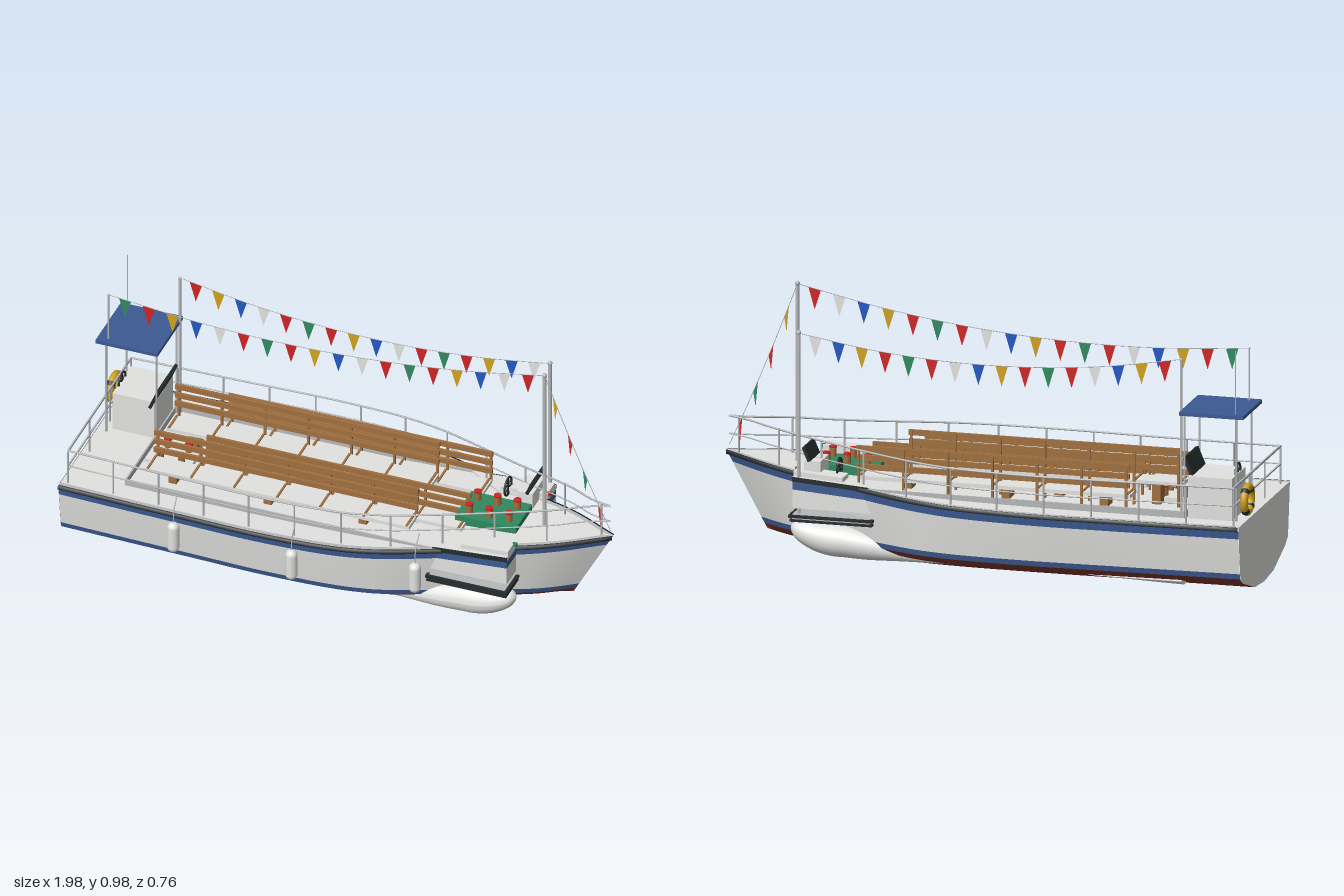
import * as THREE from 'three';

const mat = (name, color, side = THREE.FrontSide) => {
  const m = new THREE.MeshStandardMaterial({ color, side });
  m.name = name;
  return m;
};

export function createModel() {
  const white = mat('white', 0xe2e2e0, THREE.DoubleSide), navy = mat('navy', 0x3c5a92), antifoul = mat('antifouling', 0x86392f);
  const dark = mat('dark', 0x252b2d), wood = mat('wood', 0xa0703f), steel = mat('steel', 0xb6b8ba);
  const red = mat('red', 0xd02424, THREE.DoubleSide), yellow = mat('yellow', 0xd0a21e, THREE.DoubleSide);
  const green = mat('green', 0x2f8a60, THREE.DoubleSide), blue = mat('blue', 0x2258c4, THREE.DoubleSide);

  const boat = new THREE.Group();
  boat.name = 'boat';
  boat.position.z = -0.013;

  const add = (name, geo, m, x = 0, y = 0, z = 0) => {
    const mesh = new THREE.Mesh(geo, m);
    mesh.name = name;
    mesh.position.set(x, y, z);
    boat.add(mesh);
    return mesh;
  };
  // box from its limits
  const box = (name, m, x0, x1, y0, y1, z0, z1) =>
    add(name, new THREE.BoxGeometry(x1 - x0, y1 - y0, z1 - z0), m, (x0 + x1) / 2, (y0 + y1) / 2, (z0 + z1) / 2);
  const post = (name, m, x, y0, y1, z, r = 0.004, sides = 8) =>
    add(name, new THREE.CylinderGeometry(r, r, y1 - y0, sides), m, x, (y0 + y1) / 2, z);
  const tube = (name, m, pts, r, n = 60) =>
    add(name, new THREE.TubeGeometry(new THREE.CatmullRomCurve3(pts), n, r, 6), m);
  // upright prism over a plan outline; rise tilts it to follow the sheer
  const prism = (name, m, pts, y0, y1, rise = 0) => {
    const shape = new THREE.Shape(pts.map(([x, z]) => new THREE.Vector2(x, -z)));
    const g = new THREE.ExtrudeGeometry(shape, { depth: y1 - y0, bevelEnabled: false }).rotateX(-Math.PI / 2);
    const v = g.attributes.position;
    for (let i = 0; i < v.count; i++) v.setY(i, v.getY(i) + (v.getX(i) - 0.68) * rise);
    return add(name, g, m, 0, y0, 0);
  };

  // Hull plan: x, sheer height, half beam
  const plan = [[-0.98, 0.28, 0.336], [-0.5, 0.28, 0.35], [-0.2, 0.282, 0.358], [0.08, 0.287, 0.344], [0.24, 0.293, 0.31],
    [0.35, 0.298, 0.273], [0.45, 0.303, 0.236], [0.6, 0.312, 0.18], [0.8, 0.328, 0.106], [0.99, 0.342, 0.002]];
  const stations = new THREE.CatmullRomCurve3(plan.map(p => new THREE.Vector3(...p))).getPoints(54);
  const at = x => {
    const i = Math.max(1, stations.findIndex(p => p.x >= x));
    const a = stations[i - 1], b = stations[i];
    return a.clone().lerp(b, (x - a.x) / (b.x - a.x));
  };
  // Cross-section points [x, y, half width], keel to sheer
  const section = ({ x, y: s, z: b }) => {
    const f = THREE.MathUtils.clamp((x - 0.2) / 0.79, 0, 1);
    const k = 0.065 * f * f, m = 0.92 - 0.2 * f, wide = b * m;
    const side = y => b * (m + (1 - m) * Math.pow((y - 0.085) / (s - 0.085), 0.8));
    return [[0, k], [0.4 * wide, k + 0.01], [0.88 * wide, k + (0.085 - k) * 0.72], [wide, 0.085], [side(0.105), 0.105],
      [side(0.19), 0.19], [side(s - 0.043), s - 0.043], [side(s - 0.014), s - 0.014],
    ].map(([w, y]) => [x - 0.15 * f * f * (s - y) / (s - k), y, w]);
  };
  // Strip lofted along the stations, mirrored to both sides
  const strip = (name, m, rowsOf) => {
    for (const sgn of [1, -1]) {
      const pos = [], idx = [];
      const rows = stations.map(rowsOf), n = rows[0].length;
      rows.forEach(r => r.forEach(([x, y, w]) => pos.push(x, y, w * sgn)));
      for (let i = 0; i < rows.length - 1; i++) for (let j = 0; j < n - 1; j++) {
        const a = i * n + j, b = a + n, c = b + 1, d = a + 1;
        if (sgn > 0) idx.push(a, b, c, a, c, d); else idx.push(a, c, b, a, d, c);
      }
      const g = new THREE.BufferGeometry();
      g.setAttribute('position', new THREE.Float32BufferAttribute(pos, 3));
      g.setIndex(idx);
      g.computeVertexNormals();
      add(name, g, m);
    }
  };
  strip('hullBottom', antifoul, p => section(p).slice(0, 4));
  strip('waterlineStripe', navy, p => section(p).slice(3, 5));
  strip('hullSide', white, p => section(p).slice(4, 7));
  strip('sheerStripe', navy, p => section(p).slice(6, 8));
  strip('rubRail', dark, ({ x, y, z }) => [[x, y - 0.016, z - 0.003], [x, y - 0.014, z + 0.008], [x, y, z + 0.008],
    [x, y, Math.max(0, z - 0.002)]]);
  strip('deckEdge', steel, ({ x, y, z }) => [[x, y + 0.001, z], [x, y + 0.001, Math.max(0, z - 0.016)]]);
  strip('deck', white, ({ x, y, z }) => [[x, y - 0.003, Math.max(0, z - 0.002)], [x, y - 0.003, 0]]);
  const end = section(stations[0]).map(([, y, w]) => [w, y]);
  end.push([0.336, 0.28]);
  const outline = [...end, ...end.slice(1).reverse().map(([w, y]) => [-w, y])].map(p => new THREE.Vector2(...p));
  add('transom', new THREE.ShapeGeometry(new THREE.Shape(outline)).rotateY(-Math.PI / 2), white, -0.981, 0, 0);

  // Coaming around the seating area
  for (const s of [-1, 1]) box('coaming', steel, -0.76, 0.4, 0.278, 0.302, s * 0.247 - 0.003, s * 0.247 + 0.003);
  box('coamingAft', steel, -0.763, -0.757, 0.278, 0.302, -0.247, 0.247);

  // Railings
  const inset = x => Math.max(0, at(x).z - 0.03);
  for (const [lift, r] of [[0.135, 0.0038], [0.07, 0.0025]]) {
    for (const s of [1, -1]) {
      const pts = [];
      for (let i = 0; i <= 24; i++) {
        const x = -0.955 + 1.935 * i / 24;
        pts.push(new THREE.Vector3(x, at(x).y + lift - 0.01 * i / 24, s * inset(x)));
      }
      tube('sideRail', steel, pts, r, 90);
    }
    box('sternRail', steel, -0.958, -0.952, 0.28 + lift - r, 0.28 + lift + r, -0.307, 0.307);
  }
  for (const s of [1, -1]) for (let i = 0; i <= 11; i++) {
    const x = -0.955 + 1.9 * i / 11, y = at(x).y;
    post('railPost', steel, x, y - 0.01, y + 0.13, s * inset(x), 0.0035, 6);
  }
  for (const z of [-0.1, 0.1]) post('sternRailPost', steel, -0.955, 0.27, 0.41, z, 0.0035, 6);

  // Slatted benches: x range, backrest z, seat top, backrest heights
  const bench = (x0, x1, z, seat, low) => {
    box('benchSeat', white, x0, x1, seat - 0.014, seat, z, z + 0.085);
    for (let i = 0; i < 3; i++)
      box('backSlat', wood, x0, x1, low + i * 0.034, low + 0.02 + i * 0.034, z - 0.008 - i * 0.003, z + 0.002 - i * 0.003);
    for (let i = 0; i <= 6; i++) {
      const x = x0 + 0.01 + (x1 - x0 - 0.02) * i / 6;
      box('backBracket', wood, x - 0.004, x + 0.004, 0.28, low + 0.085, z - 0.018, z - 0.01);
      box('seatBatten', wood, x - 0.004, x + 0.004, seat, seat + 0.004, z, z + 0.085);
    }
    for (const t of [0.1, 0.46, 0.82]) {
      const x = x0 + (x1 - x0) * t;
      box('benchLeg', wood, x - 0.015, x + 0.015, 0.275, seat - 0.014, z + 0.015, z + 0.075);
    }
  };
  bench(-0.71, 0.29, -0.102, 0.365, 0.405);
  bench(-0.71, 0.29, 0.103, 0.325, 0.34);
  bench(-0.54, 0.46, -0.182, 0.33, 0.355);
  bench(-0.54, 0.46, 0.033, 0.315, 0.315);

  // Table with cups
  box('table', green, 0.42, 0.65, 0.285, 0.335, -0.085, 0.075);
  const cup = (x, y, z) => {
    post('cup', wood, x, y, y + 0.032, z, 0.013, 12);
    post('cupTop', red, x, y + 0.032, y + 0.038, z, 0.014, 12);
  };
  for (const x of [0.46, 0.535, 0.61]) for (const z of [-0.045, 0.038]) cup(x, 0.335, z);
  for (const x of [-0.7, -0.62]) for (const z of [-0.01, 0.065]) cup(x, 0.29, z);
  box('cupShelf', white, -0.75, -0.58, 0.275, 0.292, -0.04, 0.09);

  // Helm stations: screen and wheel
  const helm = (xs, ys, z, w, h, xw, yw) => {
    const screen = add('screen', new THREE.BoxGeometry(0.012, h, w), dark, xs, ys, z);
    screen.rotation.z = -0.4;
    const wheel = add('steeringWheel', new THREE.TorusGeometry(0.034, 0.004, 8, 24), dark, xw, yw, z);
    wheel.rotation.y = Math.PI / 2;
    for (let i = 0; i < 3; i++) {
      const spoke = add('wheelSpoke', new THREE.BoxGeometry(0.004, 0.066, 0.005), dark, xw, yw, z);
      spoke.rotation.x = i * Math.PI / 3;
    }
  };
  box('sternConsole', white, -0.93, -0.77, 0.275, 0.43, -0.24, -0.06);
  helm(-0.77, 0.446, -0.142, 0.165, 0.1, -0.925, 0.43);
  box('bowConsole', white, 0.59, 0.65, 0.3, 0.375, -0.2, -0.09);
  helm(0.64, 0.4, -0.145, 0.125, 0.055, 0.535, 0.345);

  // Canopy, poles and masts
  box('canopy', navy, -0.98, -0.745, 0.657, 0.67, -0.272, -0.022);
  for (const x of [-0.945, -0.755]) for (const z of [-0.038, -0.235]) post('canopyPost', steel, x, 0.275, 0.657, z);
  post('antenna', steel, -0.945, 0.67, 0.9, -0.247, 0.002);
  const mast = (x, y0, y1, z, r) => {
    post('mast', steel, x, y0, y1, z, r, 12);
    add('mastBall', new THREE.SphereGeometry(r * 1.3, 12, 8), steel, x, y1, z);
  };
  mast(0.73, 0.31, 0.966, 0, 0.007);
  mast(0.66, 0.18, 0.85, -0.232, 0.007);
  mast(-0.745, 0.27, 0.852, -0.242, 0.005);
  mast(-0.94, 0.67, 0.86, -0.047, 0.003);

  // Bunting: sagging line with pennants
  const cycle = [green, red, yellow, blue, white, red];
  const bunting = (a, b, sag, n, start) => {
    const A = new THREE.Vector3(...a), B = new THREE.Vector3(...b);
    const p = t => A.clone().lerp(B, t).add(new THREE.Vector3(0, -4 * sag * t * (1 - t), 0));
    tube('buntingLine', steel, [0, 0.2, 0.4, 0.6, 0.8, 1].map(p), 0.0013, 24);
    const half = 0.023 / A.distanceTo(B);
    for (let i = 0; i < n; i++) {
      const t = (i + 0.7) / (n + 0.4), l = p(t - half), r = p(t + half), c = p(t);
      const g = new THREE.BufferGeometry().setFromPoints([l, new THREE.Vector3(c.x, c.y - 0.075, c.z), r]);
      g.computeVertexNormals();
      add('pennant', g, cycle[(i + start) % 6]);
    }
  };
  bunting([-0.94, 0.86, -0.047], [0.73, 0.965, 0], 0.072, 18, 0);
  bunting([-0.745, 0.855, -0.242], [0.66, 0.848, -0.232], 0.07, 16, 1);
  bunting([0.98, 0.36, 0], [0.73, 0.965, 0], 0.015, 4, 5);

  // Wings, boarding platforms, floats and fins on both sides
  for (const s of [1, -1]) {
    const wing = [[0.36, 0.245 * s], [0.68, 0.24 * s], [0.68, 0.15 * s], [0.5, 0.15 * s]];
    prism('wing', white, wing, 0.21, 0.26);
    [[white, 0.25, 0.278], [navy, 0.278, 0.307], [white, 0.307, 0.325]]
      .forEach(([m, y0, y1]) => prism('wing', m, wing, y0, y1, 0.07));
    prism('wingTop', white, [[0.5, 0.228 * s], [0.68, 0.228 * s], [0.68, 0.155 * s], [0.5, 0.155 * s]], 0.325, 0.342, 0.07);
    prism('wingRail', dark, [[0.4, 0.242 * s], [0.68, 0.238 * s], [0.68, 0.246 * s], [0.4, 0.25 * s]], 0.308, 0.324, 0.07);
    box('navigationLight', s > 0 ? green : red, 0.675, 0.69, 0.328, 0.342, s * 0.168 - 0.006, s * 0.168 + 0.006);
    [[dark, 0, 0.181, 0.19], [steel, 0.012, 0.174, 0.192], [dark, 0.004, 0.166, 0.174]]
      .forEach(([m, d, y0, y1]) => prism('platform', m,
        [[0.38 + d, s * 0.143], [0.69 - d, s * 0.143], [0.69 - d, s * (0.267 - d)], [0.38 + d, s * (0.267 - d)]], y0, y1));

    const profile = [[0, 0.06], [0.015, 0.16], [0.032, 0.29], [0.05, 0.42], [0.057, 0.53], [0.052, 0.61], [0.036, 0.67], [0.018, 0.692], [0, 0.7]];
    const g = new THREE.LatheGeometry(new THREE.SplineCurve(profile.map(p => new THREE.Vector2(...p))).getPoints(30), 24);
    g.rotateZ(-Math.PI / 2);
    const v = g.attributes.position;
    for (let i = 0; i < v.count; i++) {
      const x = v.getX(i), nose = Math.max(0, x - 0.5) / 0.2, tail = Math.max(0, 0.5 - x) / 0.44;
      v.setY(i, v.getY(i) + 0.09 + 0.038 * nose * nose - 0.05 * tail);
      v.setZ(i, v.getZ(i) + s * (0.195 + 0.01 * tail));
    }
    g.computeVertexNormals();
    add('float', g, white);

    const fin = add('bilgeFin', new THREE.ConeGeometry(0.03, 0.37, 12).rotateZ(-Math.PI / 2), white, -0.565, 0.041, s * 0.228);
    fin.scale.y = 0.35;
    fin.rotation.x = -s * 0.32;
  }

  // Fenders
  for (const x of [-0.535, -0.085, 0.35]) {
    const z = at(x).z + 0.014;
    add('fender', new THREE.CapsuleGeometry(0.022, 0.08, 6, 16), white, x, 0.187, z);
    tube('fenderRope', steel, [new THREE.Vector3(x, 0.245, z), new THREE.Vector3(x, 0.3, z - 0.008),
      new THREE.Vector3(x, 0.35, inset(x))], 0.002, 10);
  }

  // Lifebuoy on the stern rail
  const buoy = add('lifebuoy', new THREE.TorusGeometry(0.046, 0.014, 10, 28), yellow, -0.978, 0.352, -0.205);
  buoy.rotation.y = Math.PI / 2;
  for (let i = 0; i < 4; i++) {
    const band = add('lifebuoyBand', new THREE.TorusGeometry(0.046, 0.0155, 10, 4, 0.3), dark, -0.978, 0.352, -0.205);
    band.rotation.set(0, Math.PI / 2, i * Math.PI / 2 + 0.64);
  }

  const model = new THREE.Group();
  model.name = 'excursionBoat';
  model.add(boat);
  return model;
}
